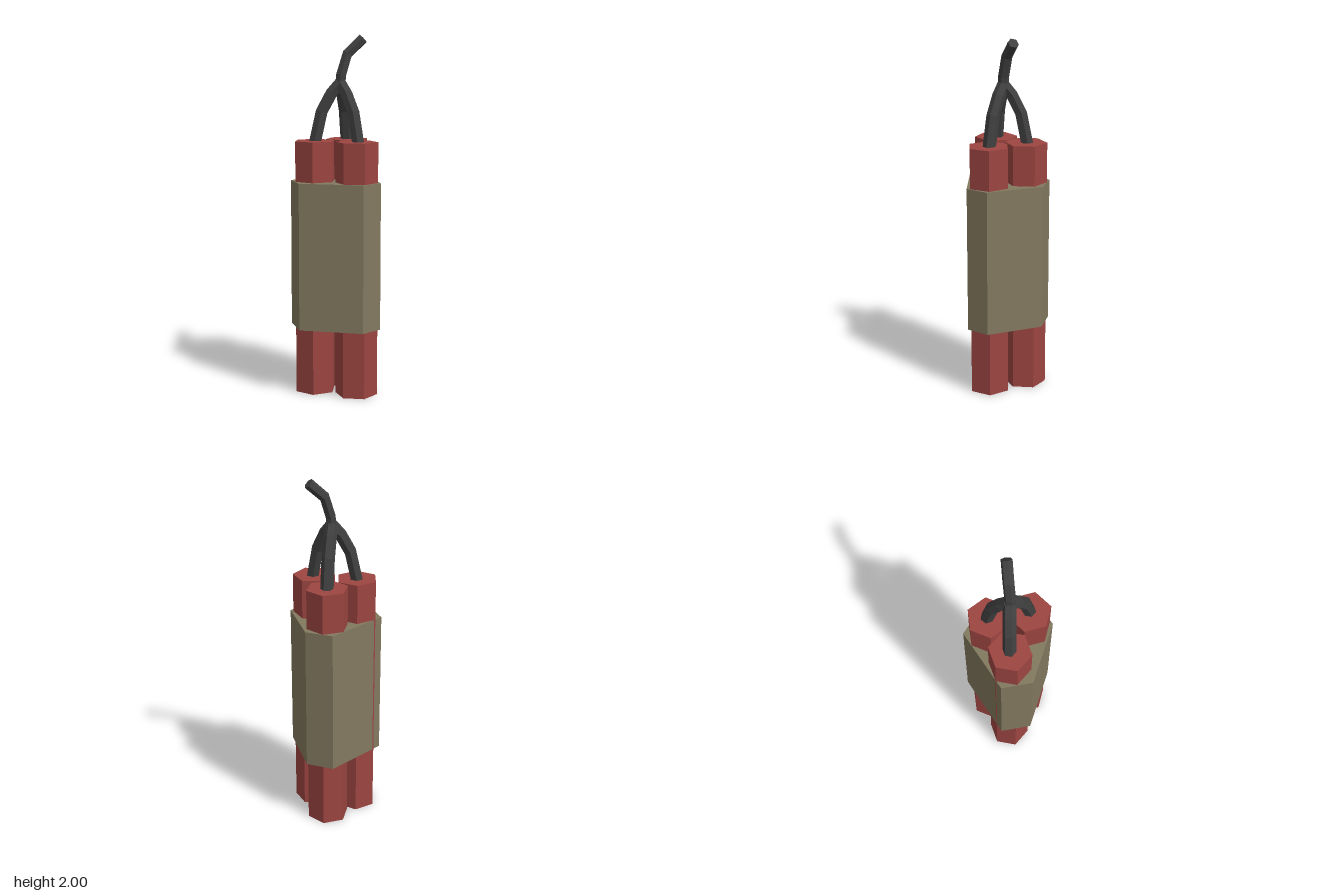
import * as THREE from 'three';

const material = (color) => new THREE.MeshStandardMaterial({ color, flatShading: true, side: THREE.DoubleSide });

// Straight-segment path sampled exactly at its corner points
class Polyline extends THREE.Curve {
  constructor(points) {
    super();
    this.points = points.map((p) => new THREE.Vector3(...p));
  }
  getPoint(t, target = new THREE.Vector3()) {
    const n = this.points.length - 1;
    const i = Math.min(Math.floor(t * n + 1e-9), n - 1);
    return target.lerpVectors(this.points[i], this.points[i + 1], t * n - i);
  }
  getPointAt(u, target) { return this.getPoint(u, target); }
  getTangentAt(u, target) { return this.getTangent(u, target); }
}

// Six-sided cord with a flat cap on its far end
function makeCord(name, points, radius, mat) {
  const group = new THREE.Group();
  group.name = name;
  const tube = new THREE.TubeGeometry(new Polyline(points), points.length - 1, radius, 6, false);
  const pos = tube.attributes.position;
  const first = (points.length - 1) * 7;
  const ring = [];
  for (let i = 0; i < 6; i++) ring.push(new THREE.Vector3().fromBufferAttribute(pos, first + i));
  const cap = new THREE.BufferGeometry().setFromPoints(ring);
  cap.setIndex([0, 1, 2, 0, 2, 3, 0, 3, 4, 0, 4, 5]);
  cap.computeVertexNormals();
  group.add(new THREE.Mesh(tube, mat), new THREE.Mesh(cap, mat));
  group.children[0].name = name + 'Body';
  group.children[1].name = name + 'End';
  return group;
}

export function createModel() {
  const model = new THREE.Group();
  model.name = 'stickBundle';
  const red = material(0x9c4541);
  const olive = material(0x83795f);
  const dark = material(0x404040);

  // Three hexagonal sticks, each turned a little differently: x, z, turn
  const height = 1.42;
  const sticks = [[-0.118, 0.048, 0], [0.046, -0.1, -0.21], [0.119, 0.111, 0.46]];
  sticks.forEach(([x, z, turn], i) => {
    const stick = new THREE.Mesh(new THREE.CylinderGeometry(0.118, 0.118, height, 6), red);
    stick.name = 'stick' + (i + 1);
    stick.position.set(x, height / 2, z);
    stick.rotation.y = turn;
    model.add(stick);
  });

  // Wrapping band around the bundle, outline given as x, z
  const outline = [[0.017, -0.237], [0.165, -0.18], [0.253, 0.133], [0.165, 0.235], [-0.192, 0.19], [-0.255, 0.025]];
  const shape = new THREE.Shape(outline.map(([x, z]) => new THREE.Vector2(x, -z)));
  const bandGeo = new THREE.ExtrudeGeometry(shape, { depth: 0.82, bevelEnabled: false });
  bandGeo.rotateX(-Math.PI / 2);
  const band = new THREE.Mesh(bandGeo, olive);
  band.name = 'wrappingBand';
  band.position.y = 0.377;
  model.add(band);

  // Short fuses rising from the sticks to the joint
  const fuses = [[-0.12, 0.045], [0.048, -0.11], [0.128, 0.11]];
  const joint = [0.02, 0.018];
  const steps = [[1.4, 0], [1.58, 0.28], [1.68, 0.66], [1.735, 1]];
  fuses.forEach(([x, z], i) => {
    const path = steps.map(([y, t]) => [x + (joint[0] - x) * t, y, z + (joint[1] - z) * t]);
    model.add(makeCord('fuse' + (i + 1), path, 0.036, dark));
  });

  // Main fuse curling up and to the side
  model.add(makeCord('mainFuse', [
    [0.02, 1.69, 0.018], [0.025, 1.78, 0.02], [0.058, 1.895, 0.005], [0.142, 1.976, -0.02],
  ], 0.03, dark));

  return model;
}
